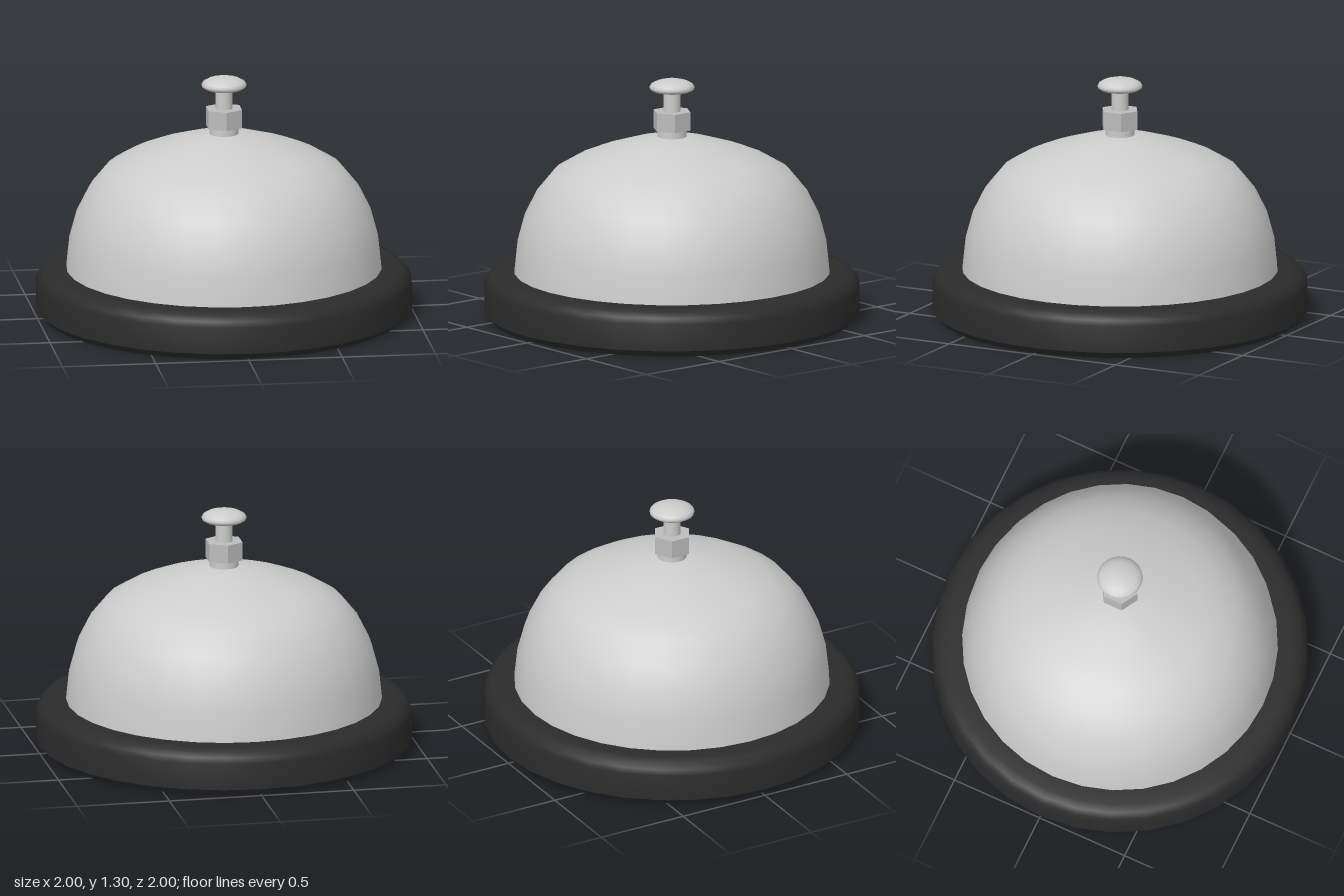
import * as THREE from 'three';
import { toCreasedNormals } from 'three/addons/utils/BufferGeometryUtils.js';

export function createModel() {
  const model = new THREE.Group();
  model.name = 'deskBell';
  const chrome = new THREE.MeshStandardMaterial({ name: 'chrome', color: 0xcccccc, side: THREE.DoubleSide });
  const steel = new THREE.MeshStandardMaterial({ name: 'steel', color: 0xbcbcbc });
  const black = new THREE.MeshStandardMaterial({ name: 'blackBase', color: 0x2b2b2b });

  function add(name, geometry, material, y = 0) {
    const mesh = new THREE.Mesh(geometry, material);
    mesh.name = name;
    mesh.position.y = y;
    model.add(mesh);
  }
  // Turned part from [radius, height] pairs, listed bottom to top
  function turned(name, profile, material, sides, crease = 0.6) {
    const points = profile.map(([r, y]) => new THREE.Vector2(r, y));
    add(name, toCreasedNormals(new THREE.LatheGeometry(points, sides), crease), material);
  }

  // Base with a chamfered foot and a rounded shoulder
  turned('base', [
    [0, 0], [0.965, 0], [1, 0.035], [1, 0.18], [0.99, 0.21],
    [0.965, 0.238], [0.92, 0.25], [0.8, 0.25], [0, 0.25],
  ], black, 32);

  // Bell dome, slightly flared at the rim
  turned('dome', [
    [0.84, 0.25], [0.824, 0.405], [0.785, 0.55], [0.72, 0.68], [0.63, 0.79],
    [0.52, 0.855], [0.41, 0.9], [0.23, 0.957], [0.09, 0.984], [0, 0.987],
  ], chrome, 32);

  // Collar, hexagonal nut and plunger stem
  add('collar', new THREE.CylinderGeometry(0.077, 0.077, 0.06, 24), chrome, 1.0);
  const nut = new THREE.CylinderGeometry(0.104, 0.104, 0.1, 6);
  add('nut', toCreasedNormals(nut, 0.6), steel, 1.073);
  add('stem', new THREE.CylinderGeometry(0.046, 0.046, 0.14, 24), chrome, 1.18);

  // Push button
  turned('button', [
    [0, 1.232], [0.1, 1.232], [0.117, 1.242], [0.12, 1.253], [0.112, 1.267],
    [0.085, 1.282], [0.045, 1.293], [0, 1.296],
  ], chrome, 24, 0.9);

  return model;
}
